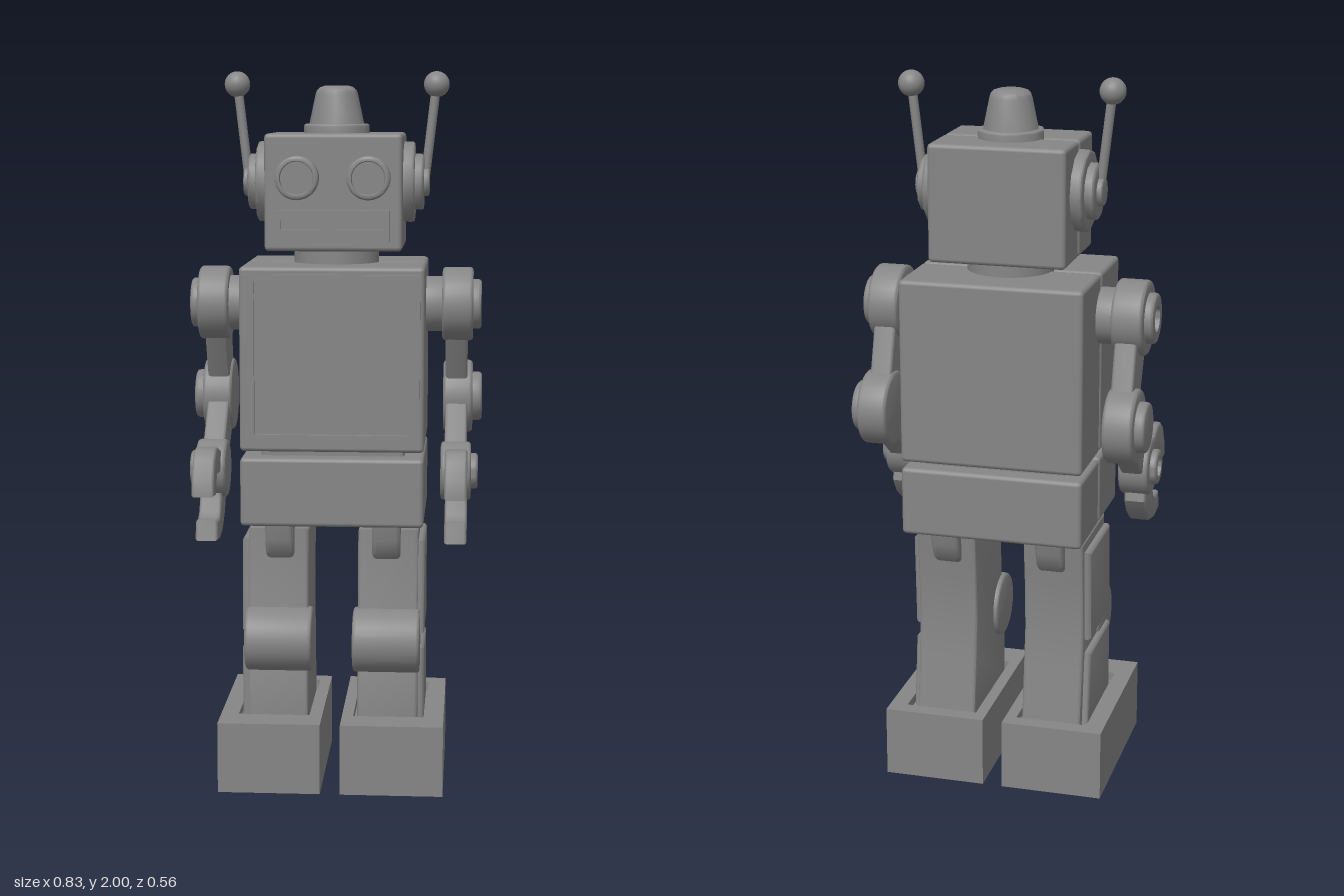
import * as THREE from 'three';
import { toCreasedNormals } from 'three/addons/utils/BufferGeometryUtils.js';
import { RoundedBoxGeometry } from 'three/addons/geometries/RoundedBoxGeometry.js';

const CZ = -0.06; // depth of the seam, neck and shoulder axis
const material = new THREE.MeshStandardMaterial({ color: 0x868686 });

function add(group, name, geometry) {
  const mesh = new THREE.Mesh(geometry, material);
  mesh.name = name;
  group.add(mesh);
}

// Rounded box given by its limits on each axis
function box(x0, x1, y0, y1, z0, z1, r = 0.012) {
  return new RoundedBoxGeometry(x1 - x0, y1 - y0, z1 - z0, 2, r)
    .translate((x0 + x1) / 2, (y0 + y1) / 2, (z0 + z1) / 2);
}

// Profile of [radius, height] pairs turned round the y axis
function turned(profile, sides = 32) {
  const pts = profile.map(([r, h]) => new THREE.Vector2(r, h));
  return toCreasedNormals(new THREE.LatheGeometry(pts, sides), 0.6);
}

// The same, lying along x
function hub(profile, y, z, sides) {
  return turned(profile, sides).rotateZ(-Math.PI / 2).translate(0, y, z);
}

// Rounded rims for profiles: at the start and at the end of a drum
const rimEnd = (r, h, b = 0.01) => [[r, h - b], [r - 0.13 * b, h - b / 2], [r - b / 2, h - 0.13 * b], [r - b, h]];
const rimStart = (r, h, b = 0.01) => rimEnd(r, h, b).map(([a, c]) => [a, 2 * h - c]).reverse();

// Plain drum along x with rounded rims
function disc(r, x0, x1, y, z) {
  return hub([[0, x0], ...rimStart(r, x0), ...rimEnd(r, x1), [0, x1]], y, z);
}

// Outline in (z, y) extruded between two x positions
function slab(pts, x0, x1, b = 0.008) {
  const g = new THREE.ExtrudeGeometry(new THREE.Shape(pts.map(([a, c]) => new THREE.Vector2(a, c))), {
    depth: x1 - x0 - 2 * b, bevelSize: b, bevelThickness: b, bevelOffset: -b, bevelSegments: 3,
  });
  return toCreasedNormals(g.rotateY(-Math.PI / 2).translate(x1 - b, 0, 0), 0.6);
}

function rectangle(Type, x0, x1, y0, y1) {
  return new Type([[x0, y0], [x1, y0], [x1, y1], [x0, y1]].map(([a, b]) => new THREE.Vector2(a, b)));
}

// Flat frame facing +z, with limits of its outside and its opening
function frame(outer, inner, z0, z1) {
  const s = rectangle(THREE.Shape, ...outer);
  s.holes.push(rectangle(THREE.Path, ...inner));
  return new THREE.ExtrudeGeometry(s, { depth: z1 - z0, bevelEnabled: false }).translate(0, 0, z0);
}

// Tapered link between two (z, y) joints
function link(a, b, wa, wb) {
  const d = new THREE.Vector2(b[0] - a[0], b[1] - a[1]).normalize();
  const p = (c, w) => [c[0] - d.y * w, c[1] + d.x * w];
  return [p(a, -wa), p(b, -wb), p(b, wb), p(a, wa)];
}

// Block made of two shells with a seam between them
function shells(group, name, hx, y0, y1, z0, z1) {
  add(group, name + 'Front', box(-hx, hx, y0, y1, CZ + 0.003, z1));
  add(group, name + 'Back', box(-hx, hx, y0, y1, z0, CZ - 0.003));
  add(group, name + 'Core', box(-hx + 0.01, hx - 0.01, y0 + 0.01, y1 - 0.01, z0 + 0.02, z1 - 0.02));
}

// Copy of a group reflected in x, with corner order put right
function mirrored(group, name) {
  const out = new THREE.Group();
  out.name = name;
  for (const mesh of group.children) {
    const g = mesh.geometry.index ? mesh.geometry.toNonIndexed() : mesh.geometry.clone();
    g.scale(-1, 1, 1);
    for (const attr of Object.values(g.attributes)) {
      const n = attr.itemSize, a = attr.array;
      for (let i = 0; i < a.length; i += 3 * n) {
        for (let k = 0; k < n; k++) [a[i + k], a[i + 2 * n + k]] = [a[i + 2 * n + k], a[i + k]];
      }
    }
    add(out, mesh.name, g);
  }
  return out;
}

function buildHead() {
  const head = new THREE.Group();
  head.name = 'head';
  shells(head, 'headShell', 0.19, 1.508, 1.83, -0.218, 0.098);
  add(head, 'neck', turned([[0, 1.46], [0.12, 1.46], [0.12, 1.53], [0, 1.53]]).translate(0, 0, CZ));
  add(head, 'beacon', turned([[0, 1.82], [0.092, 1.82], ...rimEnd(0.092, 1.855, 0.007), [0.077, 1.855],
    [0.06, 1.935], [0.056, 1.947], [0.047, 1.956], [0.034, 1.96], [0, 1.961]], 12).translate(0, 0, CZ));
  // Mouth plate with one slot
  add(head, 'mouthPlate', frame([-0.155, 0.155, 1.535, 1.622], [-0.142, 0.142, 1.57, 1.595], 0.09, 0.125));
  add(head, 'mouthBack', new THREE.BoxGeometry(0.3, 0.07, 0.02).translate(0, 1.58, 0.095));
  for (const s of [-1, 1]) {
    add(head, 'eye', turned([[0, 0.09], [0.06, 0.09], ...rimEnd(0.06, 0.135, 0.007), [0.047, 0.135],
      [0.045, 0.126], [0, 0.126]]).rotateX(Math.PI / 2).translate(s * 0.098, 1.71, 0));
  }
  return head;
}

function buildEar() {
  const ear = new THREE.Group();
  ear.name = 'leftEar';
  add(ear, 'earDisc', hub([[0, 0.18], [0.112, 0.18], ...rimEnd(0.112, 0.221, 0.008), [0.078, 0.221],
    ...rimEnd(0.078, 0.246, 0.008), [0.04, 0.246], ...rimEnd(0.04, 0.261, 0.006), [0, 0.261]], 1.694, CZ, 12));
  const rod = new THREE.LineCurve3(new THREE.Vector3(0.248, 1.7, CZ), new THREE.Vector3(0.278, 1.96, CZ));
  add(ear, 'antennaRod', new THREE.TubeGeometry(rod, 1, 0.013, 12));
  add(ear, 'antennaBall', new THREE.SphereGeometry(0.036, 24, 16).translate(0.279, 1.964, CZ));
  return ear;
}

function buildArm() {
  const arm = new THREE.Group();
  arm.name = 'leftArm';
  const shoulder = [-0.055, 1.352], elbow = [-0.164, 1.075], wrist = [0.05, 0.892];
  // Joint drum with a hollow ring on its outer face
  const ringed = (r, x1, cap, ring, hole, j) => hub([[0, 0.3], ...rimStart(r, 0.3), ...rimEnd(r, x1), [ring, x1],
    ...rimEnd(ring, cap, 0.008), [hole, cap], [hole, cap - 0.018], [0, cap - 0.018]], j[1], j[0]);
  add(arm, 'shoulderShaft', disc(0.078, 0.24, 0.31, shoulder[1], shoulder[0]));
  add(arm, 'shoulderJoint', ringed(0.104, 0.387, 0.41, 0.07, 0.036, shoulder));
  add(arm, 'upperArm', slab(link(shoulder, elbow, 0.07, 0.05), 0.31, 0.372));
  add(arm, 'elbowJoint', disc(0.104, 0.303, 0.387, elbow[1], elbow[0]));
  add(arm, 'elbowCap', disc(0.07, 0.37, 0.414, elbow[1], elbow[0]));
  add(arm, 'forearm', slab(link(elbow, wrist, 0.065, 0.048), 0.31, 0.372));
  add(arm, 'wristJoint', ringed(0.082, 0.385, 0.404, 0.05, 0.028, wrist));
  // Gripper fingers
  add(arm, 'upperFinger', slab([[0.07, 0.895], [0.14, 0.893], [0.175, 0.902], [0.2, 0.893], [0.215, 0.873],
    [0.222, 0.845], [0.282, 0.85], [0.277, 0.9], [0.25, 0.948], [0.215, 0.972], [0.175, 0.974], [0.09, 0.948]],
  0.313, 0.375));
  add(arm, 'lowerFinger', slab([[0.01, 0.85], [0.0, 0.8], [0.03, 0.755], [0.08, 0.718], [0.14, 0.706],
    [0.21, 0.714], [0.197, 0.77], [0.15, 0.768], [0.125, 0.782], [0.105, 0.812], [0.1, 0.862]], 0.313, 0.375));
  return arm;
}

function buildLeg() {
  const leg = new THREE.Group();
  leg.name = 'leftLeg';
  add(leg, 'hipBracket', slab([[0.13, 0.77], [0.12, 0.7], [0.107, 0.66], [0.08, 0.636], [-0.182, 0.636],
    [-0.208, 0.66], [-0.222, 0.7], [-0.235, 0.77]], 0.11, 0.19, 0.012));
  // One bent leg body, with raised plates on the outer side
  add(leg, 'legBody', slab([[0.125, 0.17], [0.125, 0.31], [0.1, 0.4], [0.085, 0.727], [-0.195, 0.727],
    [-0.182, 0.6], [-0.175, 0.46], [-0.188, 0.35], [-0.21, 0.17]], 0.07, 0.24));
  add(leg, 'thighPlate', slab([[0.08, 0.697], [0.095, 0.43], [-0.155, 0.43], [-0.167, 0.697]], 0.22, 0.258, 0.01));
  add(leg, 'shinPlate', slab([[0.095, 0.39], [0.095, 0.18], [-0.182, 0.18], [-0.155, 0.39]], 0.22, 0.258, 0.01));
  add(leg, 'knee', disc(0.092, 0.057, 0.246, 0.41, 0.088));
  // Boot with a sunken socket round the leg
  const boot = frame([0.028, 0.315, -0.235, 0.271], [0.06, 0.265, -0.14, 0.226], 0, 0.2);
  add(leg, 'boot', boot.rotateX(-Math.PI / 2));
  add(leg, 'bootSocket', new THREE.BoxGeometry(0.205, 0.175, 0.366).translate(0.1625, 0.0875, -0.043));
  return leg;
}

export function createModel() {
  const robot = new THREE.Group();
  robot.name = 'toyRobot';
  robot.add(buildHead());

  // Torso, chest screen and pelvis
  const body = new THREE.Group();
  body.name = 'body';
  shells(body, 'torso', 0.255, 0.958, 1.47, -0.282, 0.162);
  add(body, 'screenFrame', frame([-0.243, 0.243, 0.97, 1.45], [-0.213, 0.213, 1.008, 1.432], 0.15, 0.174));
  add(body, 'waist', box(-0.2, 0.2, 0.92, 0.98, -0.23, 0.11));
  shells(body, 'pelvis', 0.255, 0.747, 0.94, -0.282, 0.164);
  robot.add(body);

  for (const [build, name] of [[buildEar, 'rightEar'], [buildArm, 'rightArm'], [buildLeg, 'rightLeg']]) {
    const left = build();
    robot.add(left, mirrored(left, name));
  }
  return robot;
}
